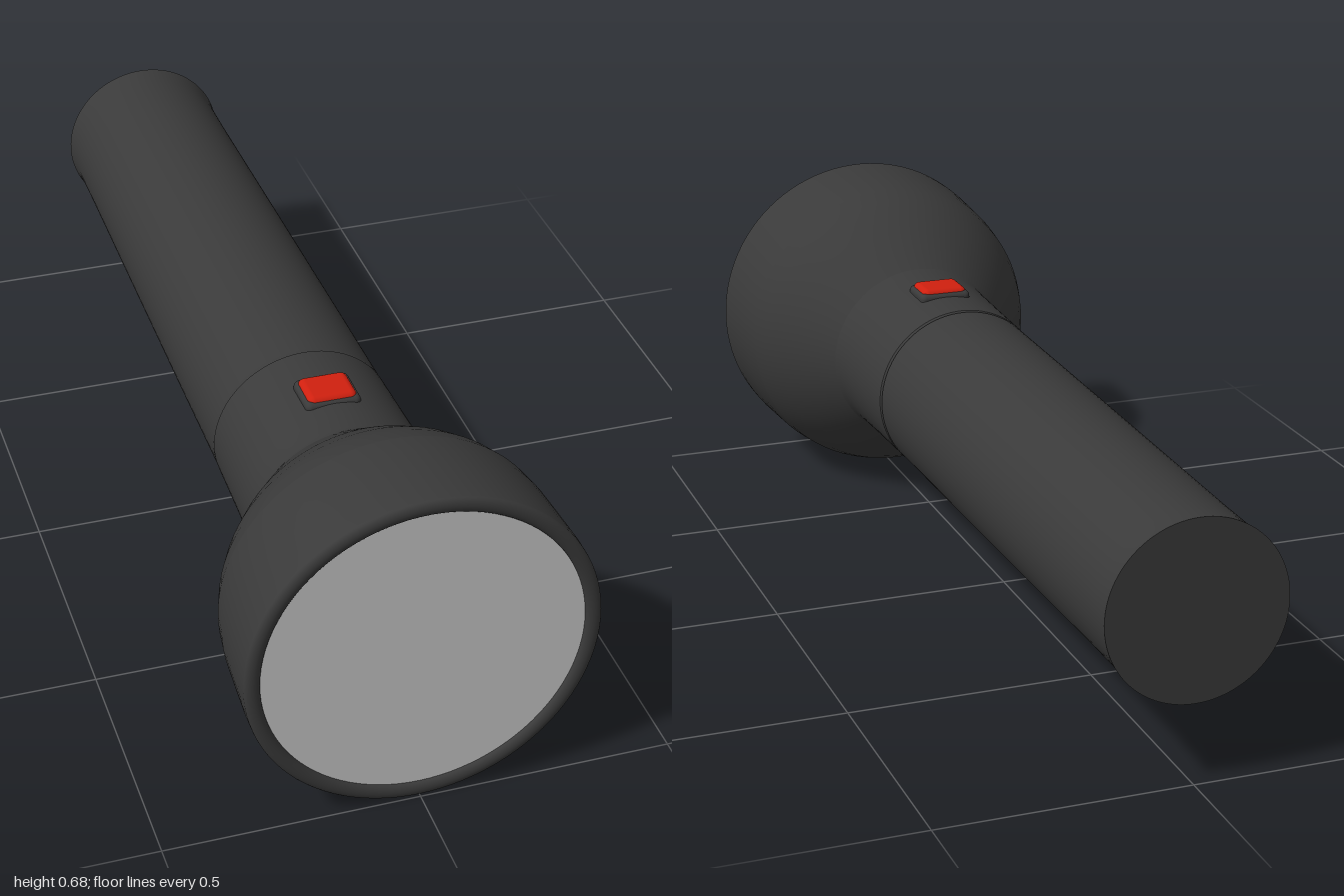
import * as THREE from 'three';
import { RoundedBoxGeometry } from 'three/addons/geometries/RoundedBoxGeometry.js';

const AXIS_Y = 0.342; // height of the torch axis

function material(name, color) {
  const m = new THREE.MeshStandardMaterial({ color });
  m.name = name;
  return m;
}

export function createModel() {
  const group = new THREE.Group();
  group.name = 'flashlight';
  const black = material('black rubber', 0x3a3a3a);
  const grey = material('lens grey', 0xc8c8c8);
  const red = material('switch red', 0xd0200f);

  function add(name, geometry, mat, x, y, z) {
    const mesh = new THREE.Mesh(geometry, mat);
    mesh.name = name;
    mesh.position.set(x, y, z);
    group.add(mesh);
    return mesh;
  }

  // Turned part around the z axis; profile points are [z, radius], back to front
  function turned(name, profile) {
    const points = profile.map(([z, r]) => new THREE.Vector2(r, z));
    add(name, new THREE.LatheGeometry(points, 96).rotateX(Math.PI / 2), black, 0, AXIS_Y, 0);
  }

  // Handle with a slightly flared tail, and the switch collar in front of a fine groove
  turned('handle', [[-1, 0.179], [-0.985, 0.177], [-0.95, 0.175], [-0.85, 0.175],
    [-0.4, 0.18], [0, 0.184], [0.255, 0.186]]);
  turned('grooveBack', [[0.255, 0.186], [0.26, 0.183]]);
  turned('grooveFront', [[0.26, 0.183], [0.265, 0.187]]);
  turned('switchCollar', [[0.265, 0.187], [0.4, 0.19], [0.5, 0.193], [0.545, 0.195], [0.56, 0.199]]);

  // Flared head and its front sleeve
  turned('headFlare', [[0.56, 0.199], [0.6, 0.228], [0.65, 0.264], [0.7, 0.295],
    [0.74, 0.314], [0.78, 0.327]]);
  turned('headSleeve', [[0.78, 0.327], [0.83, 0.334], [0.9, 0.338], [0.96, 0.341], [0.99, 0.341]]);

  // Rounded lip around the lens
  const lip = [];
  for (let i = 0; i <= 10; i++) {
    const a = (i / 10) * Math.PI;
    lip.push([0.99 + 0.01 * Math.sin(a), 0.3255 + 0.0155 * Math.cos(a)]);
  }
  turned('frontLip', lip);

  // Flat end faces
  add('lens', new THREE.CircleGeometry(0.311, 96), grey, 0, AXIS_Y, 0.99);
  add('tailCap', new THREE.CircleGeometry(0.179, 96).rotateY(Math.PI), black, 0, AXIS_Y, -1);

  // Switch on top of the collar
  add('switchFrame', new RoundedBoxGeometry(0.112, 0.03, 0.096, 3, 0.012), black, 0, 0.525, 0.412);
  add('switchButton', new RoundedBoxGeometry(0.1, 0.03, 0.084, 4, 0.014), red, 0, 0.533, 0.412);

  return group;
}
